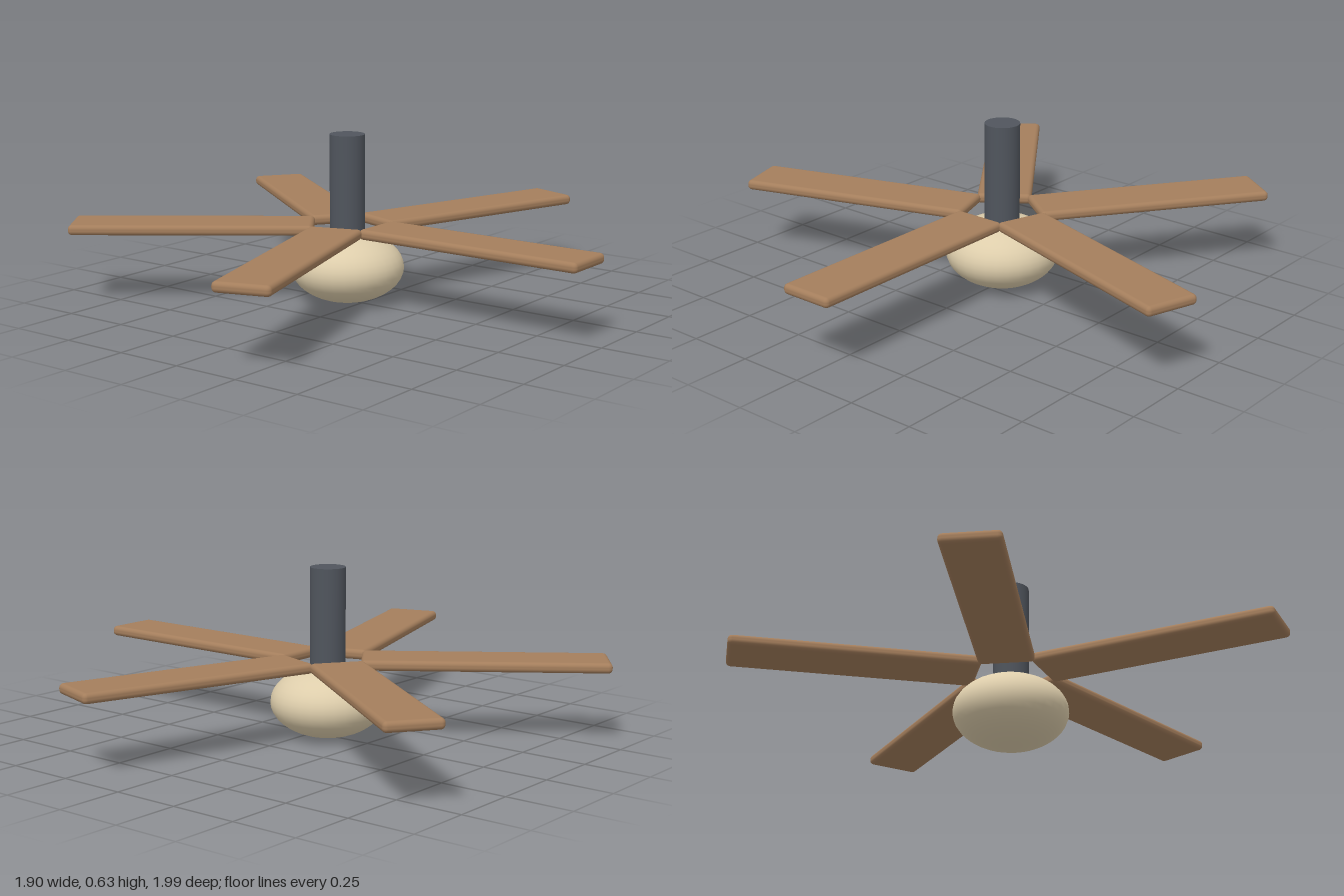
import * as THREE from 'three';
import { RoundedBoxGeometry } from 'three/addons/geometries/RoundedBoxGeometry.js';

const wood = new THREE.MeshStandardMaterial({ name: 'wood', color: 0xa47e5c });
const darkMetal = new THREE.MeshStandardMaterial({ name: 'dark metal', color: 0x50555d });
const creamGlass = new THREE.MeshStandardMaterial({ name: 'cream glass', color: 0xddcdab });

const BLADES = 5;
const INNER = 0.123, OUTER = 1.018, WIDTH = 0.205, THICKNESS = 0.038;

function addMesh(parent, name, geometry, material, x, y, z) {
  const mesh = new THREE.Mesh(geometry, material);
  mesh.name = name;
  mesh.position.set(x, y, z);
  parent.add(mesh);
  return mesh;
}

export function createModel() {
  const model = new THREE.Group();
  model.name = 'ceilingFan';

  // everything turns about the rod axis, offset so the blade span is centred
  const fan = new THREE.Group();
  fan.name = 'fan';
  fan.position.x = -0.067;
  model.add(fan);

  // hanging rod
  addMesh(fan, 'rod', new THREE.CylinderGeometry(0.065, 0.065, 0.386, 32), darkMetal, 0, 0.433, 0);

  // flattened globe under the blades
  const globe = new THREE.SphereGeometry(0.21, 32, 20);
  globe.scale(1, 0.13 / 0.21, 1);
  addMesh(fan, 'globe', globe, creamGlass, 0, 0.13, 0);

  // five radial blades with softened edges
  const bladeGeometry = new RoundedBoxGeometry(OUTER - INNER, THICKNESS, WIDTH, 3, 0.016);
  for (let i = 0; i < BLADES; i++) {
    const arm = new THREE.Group();
    arm.name = `bladeArm${i + 1}`;
    arm.rotation.y = (i / BLADES) * Math.PI * 2;
    addMesh(arm, 'blade', bladeGeometry, wood, (INNER + OUTER) / 2, 0.283, 0);
    fan.add(arm);
  }
  return model;
}
